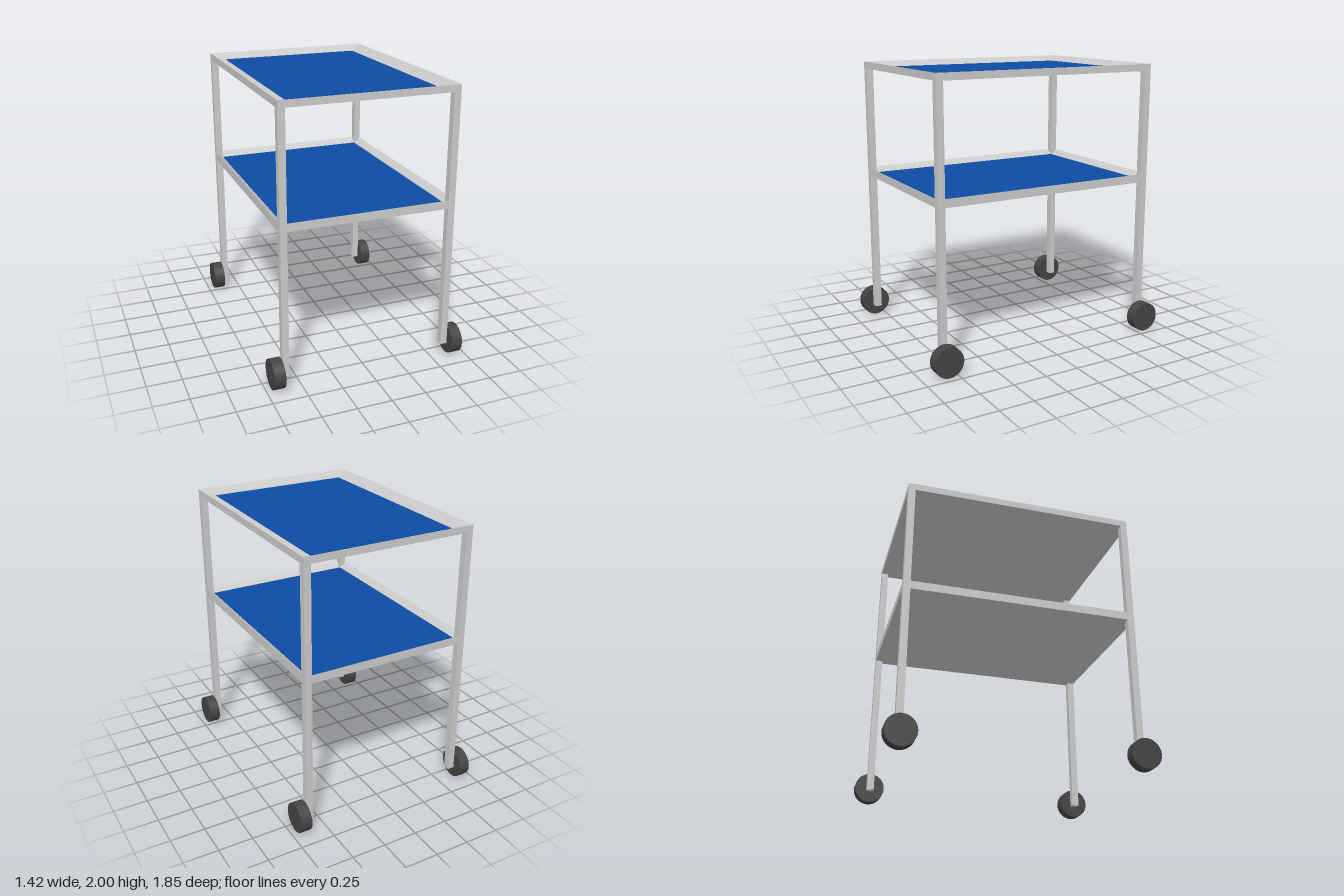
import * as THREE from 'three';

const grey = new THREE.MeshStandardMaterial({ color: 0xcccccc, flatShading: true });
const blue = new THREE.MeshStandardMaterial({ color: 0x0d4ba3 });
const rubber = new THREE.MeshStandardMaterial({ color: 0x444444 });

const HX = 0.63, HZ = 0.845, BAR = 0.05; // outer half sizes and bar thickness

// Rectangular rings [inset, y] lofted from the underside, over the rim, to the floor
function trayGeometry(rings) {
  const pos = [], idx = [];
  for (const [inset, y] of rings) {
    const x = HX - inset, z = HZ - inset;
    pos.push(-x, y, z, x, y, z, x, y, -z, -x, y, -z);
  }
  idx.push(0, 2, 1, 0, 3, 2); // underside
  for (let r = 0; r < rings.length - 1; r++) {
    for (let i = 0; i < 4; i++) {
      const a = r * 4 + i, b = r * 4 + (i + 1) % 4;
      idx.push(a, b, b + 4, a, b + 4, a + 4);
    }
  }
  const t = (rings.length - 1) * 4;
  idx.push(t, t + 1, t + 2, t, t + 2, t + 3); // floor
  const indexed = new THREE.BufferGeometry();
  indexed.setAttribute('position', new THREE.Float32BufferAttribute(pos, 3));
  indexed.setIndex(idx);
  const g = indexed.toNonIndexed();
  g.computeVertexNormals();
  return g;
}

export function createModel() {
  const model = new THREE.Group();
  const add = (name, geometry, material, x = 0, y = 0, z = 0) => {
    const mesh = new THREE.Mesh(geometry, material);
    mesh.name = name;
    mesh.position.set(x, y, z);
    model.add(mesh);
    return mesh;
  };

  // Trays with a rim sloping inward, each with a blue mat
  const trays = [
    { name: 'top', top: 2, height: 0.05, matInset: 0.1 },
    { name: 'lower', top: 1.2, height: 0.06, matInset: 0.053 },
  ];
  for (const { name, top, height, matInset } of trays) {
    const floor = top - 0.04;
    add(name + 'Tray', trayGeometry([[0, top - height], [0, top], [BAR, floor]]), grey);
    add(name + 'Mat', new THREE.BoxGeometry(2 * (HX - matInset), 0.004, 2 * (HZ - matInset)), blue, 0, floor + 0.001, 0);
  }

  // Legs and wheels at the four corners
  const legBottom = 0.08, legTop = 1.952;
  const legGeometry = new THREE.BoxGeometry(BAR, legTop - legBottom, BAR);
  const wheelGeometry = new THREE.CylinderGeometry(0.107, 0.107, 0.08, 40).rotateZ(Math.PI / 2);
  for (const sx of [-1, 1]) {
    for (const sz of [-1, 1]) {
      const corner = (sz > 0 ? 'front' : 'back') + (sx > 0 ? 'Left' : 'Right');
      add(corner + 'Leg', legGeometry, grey, sx * (HX - BAR / 2), (legTop + legBottom) / 2, sz * (HZ - BAR / 2));
      add(corner + 'Wheel', wheelGeometry, rubber, sx * (HX + 0.04), 0.107, sz * (HZ - BAR / 2));
    }
  }
  return model;
}
